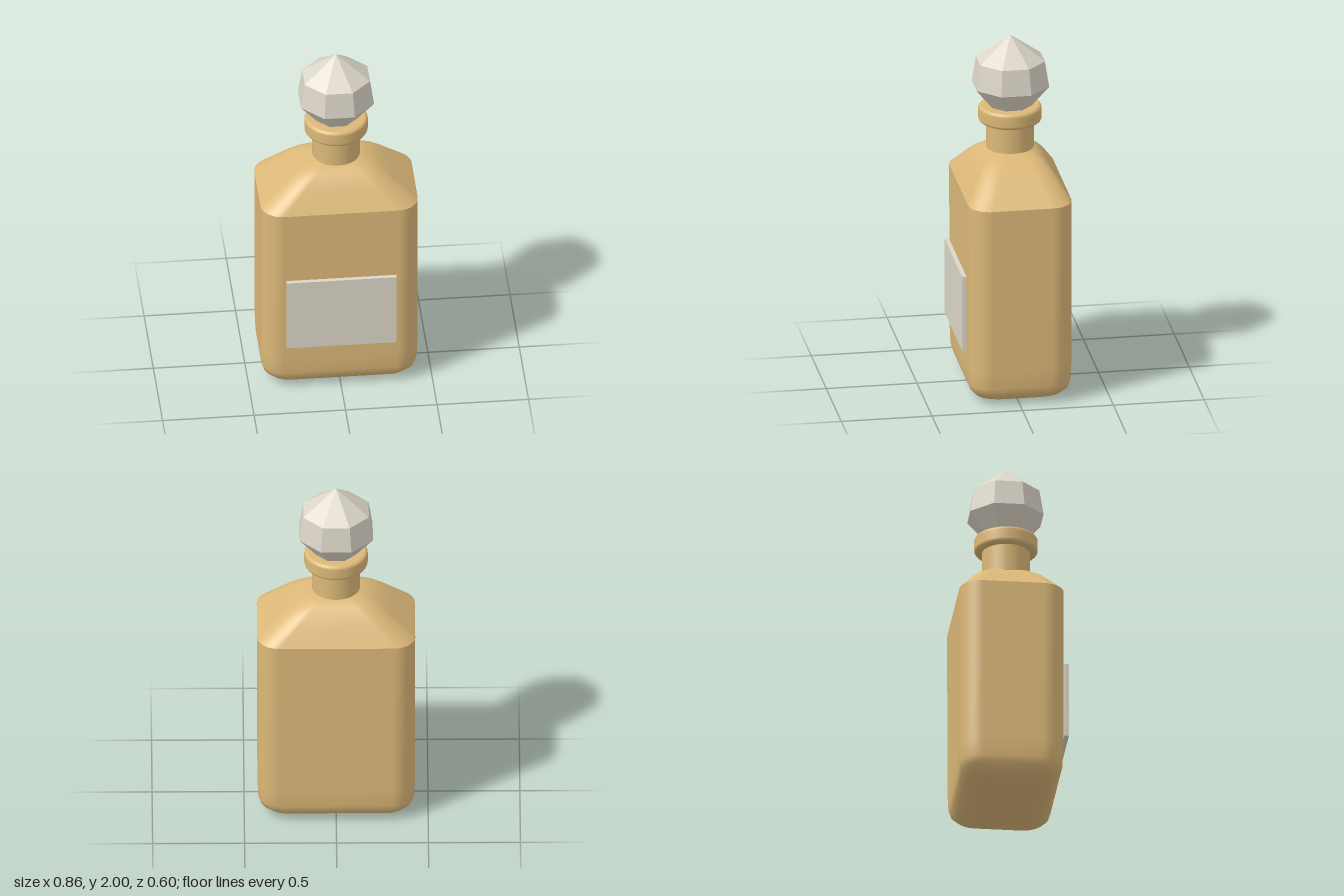
import * as THREE from 'three';

const CORNER = 8; // segments per rounded corner

// Rounded rectangle outline, running so that stacked loops face outwards
function outline(hx, hz, r) {
  const points = [];
  const signs = [[1, 1], [-1, 1], [-1, -1], [1, -1]];
  signs.forEach(([sx, sz], q) => {
    for (let i = 0; i <= CORNER; i++) {
      const a = (q + i / CORNER) * Math.PI / 2;
      points.push([sx * (hx - r) + r * Math.cos(a), sz * (hz - r) + r * Math.sin(a)]);
    }
  });
  return points;
}

// Surface through sections [y, half width, half depth, corner radius], bottom to top
function loft(sections, capBottom, capTop) {
  const n = 4 * (CORNER + 1);
  const pos = [], index = [];
  for (const [y, hx, hz, r] of sections) {
    for (const [x, z] of outline(hx, hz, r)) pos.push(x, y, z);
  }
  for (let s = 0; s < sections.length - 1; s++) {
    for (let i = 0; i < n; i++) {
      const a = s * n + i, b = s * n + (i + 1) % n;
      index.push(a, a + n, b, b, a + n, b + n);
    }
  }
  const last = (sections.length - 1) * n;
  if (capBottom !== null) {
    const c = pos.length / 3;
    pos.push(0, capBottom, 0);
    for (let i = 0; i < n; i++) index.push(c, i, (i + 1) % n);
  }
  if (capTop !== null) {
    const c = pos.length / 3;
    pos.push(0, capTop, 0);
    for (let i = 0; i < n; i++) index.push(c, last + (i + 1) % n, last + i);
  }
  const g = new THREE.BufferGeometry();
  g.setAttribute('position', new THREE.Float32BufferAttribute(pos, 3));
  g.setIndex(index);
  g.computeVertexNormals();
  return g;
}

export function createModel() {
  const model = new THREE.Group();
  model.name = 'decanter';
  const amber = new THREE.MeshStandardMaterial({ color: 0xdcb878 });
  amber.name = 'amberGlass';
  const crystal = new THREE.MeshStandardMaterial({ color: 0xdcd6c8 });
  crystal.name = 'paleCrystal';
  // Faceted stopper gets its hard edges from split normals
  const add = (name, geometry, material, z = -0.015) => {
    const mesh = new THREE.Mesh(geometry, material);
    mesh.name = name;
    mesh.position.z = z;
    model.add(mesh);
    return mesh;
  };

  // Straight-sided bottle with softly rounded base
  add('body', loft([
    [0.008, 0.30, 0.16, 0.10],
    [0.014, 0.35, 0.205, 0.11],
    [0.03, 0.386, 0.241, 0.115],
    [0.06, 0.412, 0.267, 0.12],
    [0.10, 0.424, 0.279, 0.12],
    [0.20, 0.428, 0.283, 0.12],
    [1.14, 0.43, 0.285, 0.12],
  ], 0, null), amber);

  // Sloping shoulders, rounding over towards the neck
  add('shoulders', loft([
    [1.14, 0.43, 0.285, 0.12],
    [1.20, 0.358, 0.247, 0.11],
    [1.25, 0.297, 0.215, 0.10],
    [1.29, 0.246, 0.184, 0.09],
    [1.32, 0.197, 0.152, 0.08],
    [1.34, 0.148, 0.115, 0.065],
    [1.352, 0.09, 0.07, 0.045],
  ], null, 1.356), amber);

  // Neck
  const neck = new THREE.CylinderGeometry(0.13, 0.13, 0.16, 48);
  neck.translate(0, 1.435, 0);
  add('neck', neck, amber, -0.012);

  // Collar with rounded rims
  const profile = [new THREE.Vector2(0, 1.505)];
  const R = 0.173, r = 0.02;
  for (const [cy, start] of [[1.505 + r, -Math.PI / 2], [1.597 - r, 0]]) {
    for (let i = 0; i <= 5; i++) {
      const a = start + i / 5 * Math.PI / 2;
      profile.push(new THREE.Vector2(R - r + r * Math.cos(a), cy + r * Math.sin(a)));
    }
  }
  profile.push(new THREE.Vector2(0, 1.597));
  add('collar', new THREE.LatheGeometry(profile, 48), amber, -0.012);

  // Eight-sided cut stopper, flats facing front and sides
  const toCorner = 1 / Math.cos(Math.PI / 8);
  const rings = [[0, 1.57], [0.088, 1.57], [0.2, 1.715], [0.178, 1.86], [0, 2]]
    .map(([rad, y]) => new THREE.Vector2(rad * toCorner, y));
  const gem = new THREE.LatheGeometry(rings, 8, Math.PI / 8).toNonIndexed();
  gem.computeVertexNormals();
  add('stopper', gem, crystal);

  // Label plate standing just off the front
  const label = new THREE.BoxGeometry(0.6, 0.43, 0.024);
  label.translate(0, 0.505, 0);
  add('label', label, crystal, 0.288);

  return model;
}
